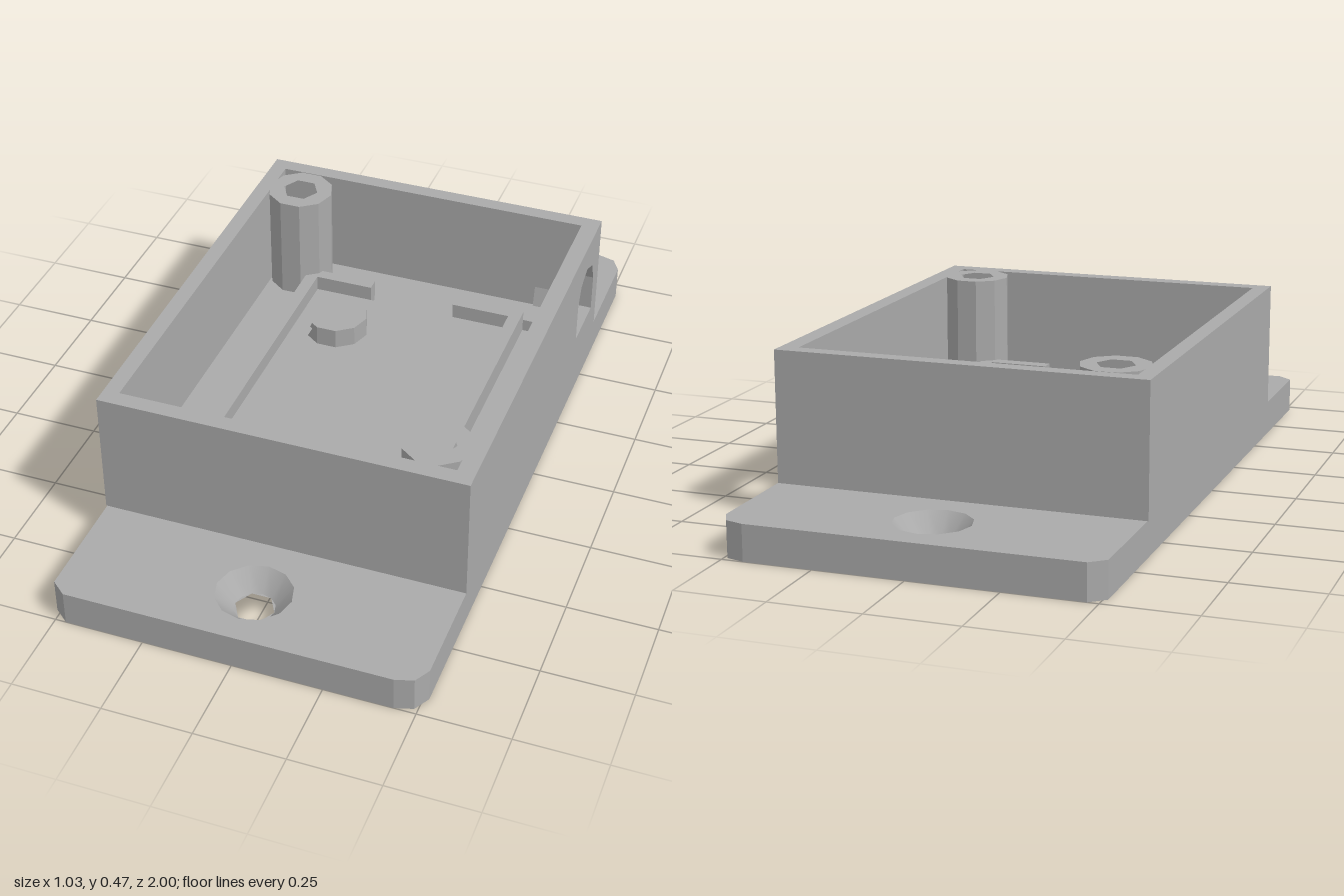
import * as THREE from 'three';

const grey = new THREE.MeshStandardMaterial({ color: 0xaaaaaa });
grey.name = 'plain grey';
const greyOpen = grey.clone();
greyOpen.side = THREE.DoubleSide;

const rect = (x0, x1, z0, z1) => [[x0, z0], [x1, z0], [x1, z1], [x0, z1]];

// Regular polygon with a corner on the x axis
const ngon = (n, r, cx, cz) => Array.from({ length: n }, (_, i) => {
  const a = (i / n) * Math.PI * 2;
  return [cx + r * Math.cos(a), cz + r * Math.sin(a)];
});

const toPoints = (list) => list.map(([x, z]) => new THREE.Vector2(x, -z));

export function createModel() {
  const model = new THREE.Group();
  model.name = 'mountingBox';

  const add = (name, geometry, material = grey) => {
    const mesh = new THREE.Mesh(geometry, material);
    mesh.name = name;
    model.add(mesh);
    return mesh;
  };

  // Upright prism from an outline in x and z, with optional holes
  const prism = (name, outline, y0, y1, holes = []) => {
    const shape = new THREE.Shape(toPoints(outline));
    holes.forEach((h) => shape.holes.push(new THREE.Path(toPoints(h))));
    const g = new THREE.ExtrudeGeometry(shape, { depth: y1 - y0, bevelEnabled: false });
    g.rotateX(-Math.PI / 2);
    g.translate(0, y0, 0);
    return add(name, g);
  };

  // Base plate with clipped corners and countersunk screw holes
  const plate = [
    [-0.47, -1], [0.44, -1], [0.49, -0.985], [0.515, -0.94],
    [0.515, 0.94], [0.49, 0.985], [0.44, 1], [-0.47, 1], [-0.512, 0.965], [-0.512, -0.965],
  ];
  const screwZ = [-0.825, 0.825];
  const sinkY = 0.045;
  prism('basePlateLower', plate, 0, sinkY, screwZ.map((z) => ngon(6, 0.055, -0.005, z)));
  prism('basePlateUpper', plate, sinkY, 0.1, screwZ.map((z) => ngon(12, 0.105, -0.005, z)));
  for (const z of screwZ) {
    const cone = new THREE.CylinderGeometry(0.105, 0.055, 0.1 - sinkY, 12, 1, true);
    cone.rotateY(Math.PI / 2);
    cone.translate(-0.005, (0.1 + sinkY) / 2, z);
    add('countersink', cone, greyOpen);
  }

  // Three plain walls
  prism('boxWalls', [
    [-0.515, -0.642], [0.465, -0.642], [0.465, -0.598], [-0.47, -0.598],
    [-0.47, 0.595], [0.465, 0.595], [0.465, 0.642], [-0.515, 0.642],
  ], 0.1, 0.465);

  // Left wall with the arched cable opening
  const side = new THREE.Shape([[-0.642, 0.1], [0.642, 0.1], [0.642, 0.465], [-0.642, 0.465]]
    .map((p) => new THREE.Vector2(...p)));
  side.holes.push(new THREE.Path([
    [0.415, 0.19], [0.415, 0.3], [0.44, 0.36], [0.5, 0.385], [0.56, 0.36], [0.585, 0.3], [0.585, 0.19],
  ].map((p) => new THREE.Vector2(...p))));
  const sideWall = new THREE.ExtrudeGeometry(side, { depth: 0.05, bevelEnabled: false });
  sideWall.rotateY(Math.PI / 2);
  sideWall.translate(0.465, 0, 0);
  add('cableWall', sideWall);

  // Stepped floor: sunken pit, ledge around it and outer floor
  const pit = rect(-0.255, 0.25, -0.375, 0.37);
  prism('pitFloor', rect(-0.28, 0.28, -0.4, 0.4), 0.09, 0.11);
  prism('boxFloor', rect(-0.48, 0.475, -0.61, 0.605), 0.1, 0.15, [pit]);
  prism('boardLedge', rect(-0.305, 0.3, -0.425, 0.417), 0.149, 0.17, [pit]);

  // Retaining ridges around the ledge, open in the middle of the short sides
  const ridge = [
    [-0.34, -0.46], [-0.13, -0.46], [-0.13, -0.425], [-0.303, -0.425],
    [-0.303, 0.417], [-0.13, 0.417], [-0.13, 0.457], [-0.34, 0.457],
  ];
  for (const s of [1, -1]) {
    prism('boardRidge', ridge.map(([x, z]) => [x * s, z]), 0.149, 0.215);
  }

  // Screw bosses: tall ones for the lid, short ones for the board
  for (const s of [1, -1]) {
    prism('lidBoss', ngon(10, 0.097, s * 0.383, s * 0.503), 0.149, 0.465,
      [ngon(6, 0.053, s * 0.383, s * 0.503)]);
    prism('boardBoss', ngon(10, 0.095, s * 0.205, s * 0.328), 0.109, 0.17,
      [ngon(6, 0.05, s * 0.205, s * 0.328)]);
  }

  // Cable rest and sloped guide beside the opening
  prism('cableRest', rect(0.32, 0.468, -0.54, -0.459), 0.149, 0.187);
  const wedge = new THREE.Shape([[0.602, 0.149], [0.58, 0.149], [0.602, 0.23]]
    .map((p) => new THREE.Vector2(...p)));
  const guide = new THREE.ExtrudeGeometry(wedge, { depth: 0.13, bevelEnabled: false });
  guide.rotateY(Math.PI / 2);
  guide.translate(0.336, 0, 0);
  add('cableGuide', guide);

  return model;
}
